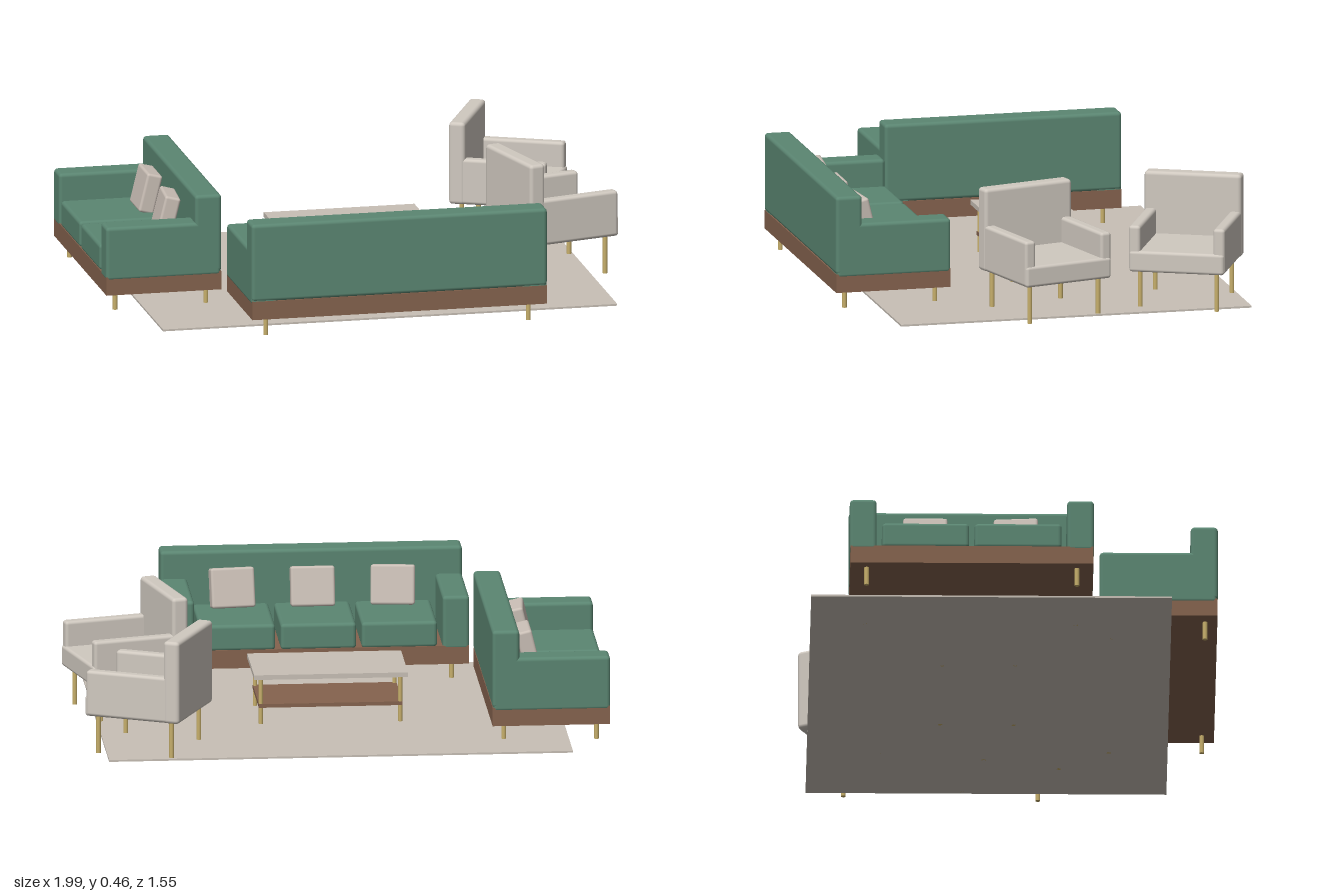
import * as THREE from 'three';
import { RoundedBoxGeometry } from 'three/addons/geometries/RoundedBoxGeometry.js';

const mat = (name, color) => {
  const m = new THREE.MeshStandardMaterial({ color });
  m.name = name;
  return m;
};

export function createModel() {
  const green = mat('green upholstery', 0x5b8672);
  const brown = mat('brown wood', 0x85634e);
  const cream = mat('cream upholstery', 0xd0c9c0);
  const pillowCloth = mat('pillow cloth', 0xcabfb6);
  const beige = mat('beige', 0xc8c0b6);
  const gold = mat('brass', 0xc8b06c);

  const add = (parent, name, geometry, material, x, y, z) => {
    const mesh = new THREE.Mesh(geometry, material);
    mesh.name = name;
    mesh.position.set(x, y, z);
    parent.add(mesh);
    return mesh;
  };
  // Boxes are given by their low and high limits on each axis
  const span = (parent, name, material, [x0, x1], [y0, y1], [z0, z1], r = 0) => {
    const size = [x1 - x0, y1 - y0, z1 - z0];
    const geo = r ? new RoundedBoxGeometry(...size, 2, r) : new THREE.BoxGeometry(...size);
    return add(parent, name, geo, material, (x0 + x1) / 2, (y0 + y1) / 2, (z0 + z1) / 2);
  };
  // Four round legs mirrored about the middle
  const legs = (parent, dx, dz, height, r) => {
    const geo = new THREE.CylinderGeometry(r, r, height, 12);
    for (const sx of [-1, 1])
      for (const sz of [-1, 1]) add(parent, 'leg', geo, gold, sx * dx, height / 2, sz * dz);
  };

  // Sofa with its backrest toward +z and its seats toward -z
  function sofa(name, length, seats, pillows) {
    const g = new THREE.Group();
    g.name = name;
    const L = length / 2, D = 0.219, arm = 0.1, gap = 0.02;
    span(g, 'base', brown, [-L + 0.002, L - 0.002], [0.07, 0.14], [-D, D]);
    span(g, 'backrest', green, [-L, L], [0.138, 0.435], [D - 0.1, D + 0.001], 0.014);
    for (const s of [-1, 1]) {
      const c = s * (L - arm / 2);
      span(g, 'armrest', green, [c - arm / 2, c + arm / 2], [0.125, 0.33], [-D - 0.001, D - 0.002], 0.014);
    }
    const w = (length - 2 * arm - gap * (seats + 1)) / seats;
    for (let i = 0; i < seats; i++) {
      const x = -L + arm + gap + i * (w + gap);
      span(g, 'seatCushion', green, [x, x + w], [0.135, 0.235], [-D, D - 0.105], 0.014);
    }
    // Loose pillows leaning on the backrest
    for (const [x, yaw] of pillows) {
      const p = add(g, 'pillow', new RoundedBoxGeometry(0.165, 0.15, 0.06, 2, 0.01), pillowCloth, x, 0.305, 0.07);
      p.rotation.set(0.24, yaw, 0, 'YXZ');
    }
    legs(g, L - 0.063, D - 0.046, 0.08, 0.009);
    return g;
  }

  // Armchair facing +x
  function armchair() {
    const g = new THREE.Group();
    g.name = 'armchair';
    span(g, 'seat', cream, [-0.17, 0.187], [0.145, 0.225], [-0.18, 0.18], 0.012);
    span(g, 'backrest', cream, [-0.187, -0.125], [0.145, 0.46], [-0.184, 0.184], 0.014);
    for (const s of [-1, 1]) {
      const c = s * 0.16;
      span(g, 'armrest', cream, [-0.15, 0.182], [0.147, 0.32], [c - 0.022, c + 0.022], 0.012);
    }
    legs(g, 0.145, 0.145, 0.15, 0.009);
    return g;
  }

  const model = new THREE.Group();
  model.name = 'loungeSet';

  span(model, 'rug', beige, [-0.85, 0.88], [0, 0.007], [-0.747, 0.595]);

  const longSofa = sofa('threeSeatSofa', 1.126, 3, [[-0.3, -0.1], [0, 0], [0.3, 0.1]]);
  longSofa.position.set(0.013, 0, 0.549);
  const shortSofa = sofa('twoSeatSofa', 0.908, 2, [[0.17, 0], [-0.167, -0.08]]);
  shortSofa.position.set(-0.781, 0, -0.151);
  shortSofa.rotation.y = Math.PI / 2;
  model.add(longSofa, shortSofa);

  for (const [x, z, turn] of [[0.716, -0.536, -25], [0.762, 0.015, 15]]) {
    const chair = armchair();
    chair.position.set(x, 0, z);
    chair.rotation.y = THREE.MathUtils.degToRad(turn);
    model.add(chair);
  }

  // Coffee table with a low wooden shelf
  const table = new THREE.Group();
  table.name = 'coffeeTable';
  table.position.set(0.015, 0, -0.117);
  span(table, 'tableTop', beige, [-0.287, 0.287], [0.182, 0.2], [-0.164, 0.164]);
  span(table, 'shelf', brown, [-0.268, 0.268], [0.07, 0.084], [-0.145, 0.145]);
  legs(table, 0.26, 0.136, 0.184, 0.008);
  model.add(table);

  return model;
}
